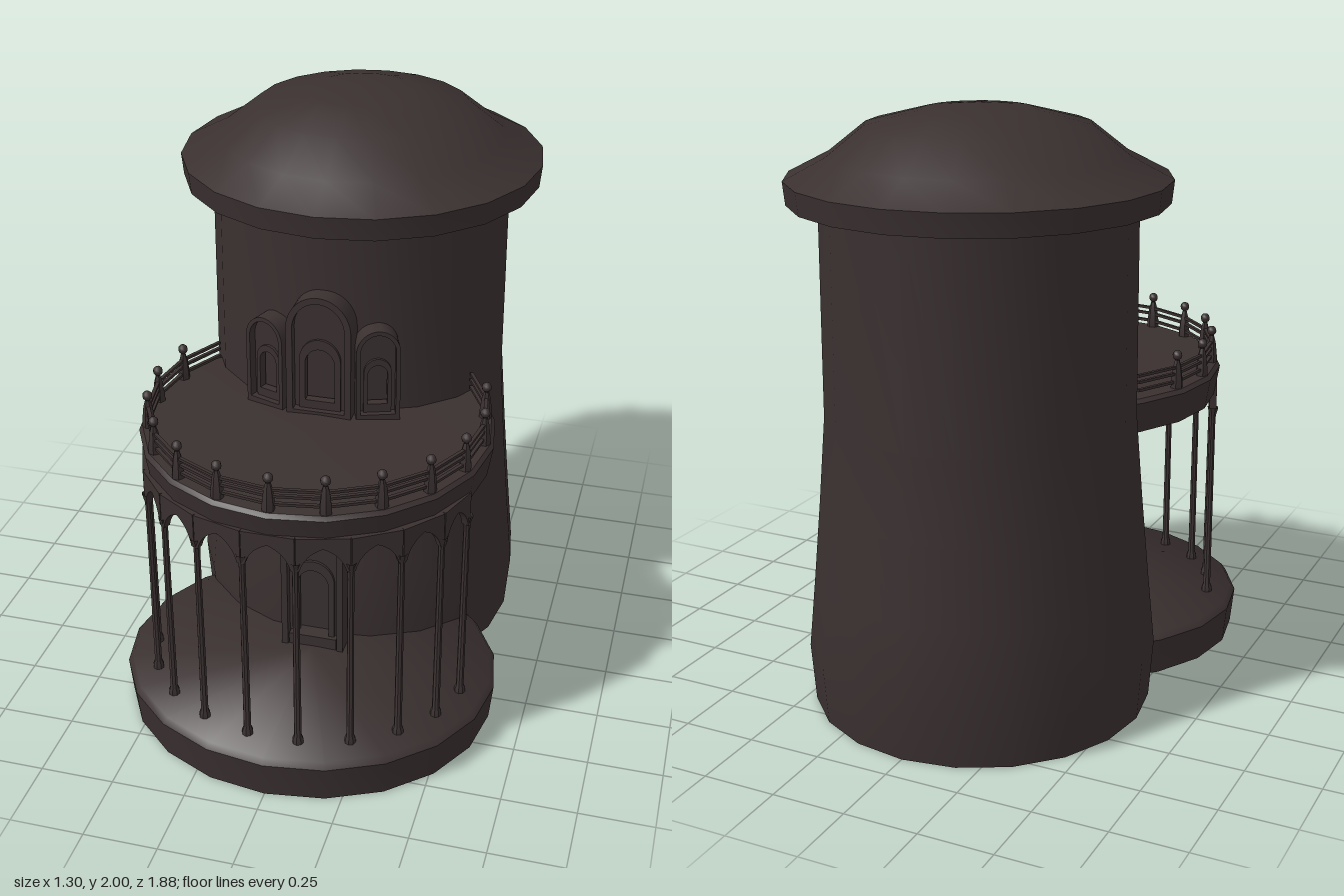
import * as THREE from 'three';
import { toCreasedNormals } from 'three/addons/utils/BufferGeometryUtils.js';

export function createModel() {
  const root = new THREE.Group();
  root.name = 'roundTower';
  const stone = new THREE.MeshStandardMaterial({ color: 0x3a3030, side: THREE.DoubleSide });
  stone.name = 'darkStone';
  const SIDES = 20, STEP = Math.PI / 10;
  const TOWER_Z = -0.33, BALCONY_Z = 0.25, BASE_Z = 0.35;

  const add = (parent, name, geometry) => {
    const mesh = new THREE.Mesh(geometry, stone);
    mesh.name = name;
    parent.add(mesh);
    return mesh;
  };
  const group = (name, parent = root) => {
    const g = new THREE.Group();
    g.name = name;
    parent.add(g);
    return g;
  };
  const lathe = (profile, sides = SIDES) => toCreasedNormals(
    new THREE.LatheGeometry(profile.map(([r, y]) => new THREE.Vector2(r, y)), sides), 0.7);

  // Tower wall, open at the bottom, and its domed cap
  add(root, 'towerWall', lathe([[0.57, 0], [0.585, 0.2], [0.56, 0.45], [0.535, 0.72], [0.512, 1], [0.508, 1.72]]))
    .position.z = TOWER_Z;
  add(root, 'roof', lathe([[0.49, 1.7], [0.607, 1.695], [0.615, 1.77], [0.48, 1.84], [0.36, 1.935], [0.175, 1.982], [0, 2]]))
    .position.z = TOWER_Z;

  // Oval porch floor, a shell open below
  const floor = add(root, 'porchFloor', lathe([[0.98, 0], [1, 0.127], [0.975, 0.148], [0, 0.17]]));
  floor.scale.set(0.648, 1, 0.585);
  floor.position.z = BASE_Z;

  // Balcony floor
  add(root, 'balconyFloor', lathe([[0.572, 0.91], [0.59, 1.015], [0.578, 1.028], [0, 1.05]]))
    .position.z = BALCONY_Z;

  // Arch outline from y0 up to a rounded top
  const trace = (path, hw, y0, top) => {
    const spring = top - hw * 1.1;
    path.moveTo(-hw, y0);
    path.lineTo(hw, y0);
    path.lineTo(hw, spring);
    path.absellipse(0, spring, hw, hw * 1.1, 0, Math.PI, false, 0);
    path.lineTo(-hw, y0);
    return path;
  };
  // Arched plate, with an opening when a hole is given; its front lies at z
  const archPlate = (parent, name, outer, hole, z, depth) => {
    const shape = trace(new THREE.Shape(), ...outer);
    if (hole) shape.holes.push(trace(new THREE.Path(), ...hole));
    const geometry = new THREE.ExtrudeGeometry(shape, { depth, bevelEnabled: false, curveSegments: 12 });
    add(parent, name, toCreasedNormals(geometry, 0.6)).position.z = z - depth;
  };
  // Stepped arch: surround, inner frame and back panel
  const portal = (name, hw, y0, top, innerHw, innerTop, z, depth) => {
    const g = group(name);
    const lip = hw * 0.2;
    archPlate(g, 'surround', [hw, y0, top], [hw - lip, y0 + 0.03, top - lip], z, depth);
    archPlate(g, 'tympanum', [hw - lip, y0, top - lip], [innerHw, y0 + 0.03, innerTop], z - 0.03, depth - 0.05);
    archPlate(g, 'innerFrame', [innerHw, y0, innerTop],
      [innerHw * 0.72, y0 + 0.06, innerTop - innerHw * 0.5], z - 0.02, 0.03);
    archPlate(g, 'panel', [innerHw, y0, innerTop], null, z - 0.06, 0.02);
    return g;
  };

  portal('door', 0.11, 0.09, 0.71, 0.075, 0.515, 0.345, 0.2);
  add(group('doorStep'), 'step', new THREE.BoxGeometry(0.17, 0.13, 0.1)).position.set(0, 0.145, 0.29);

  // Windows above the balcony, facing out from the tower
  portal('middleWindow', 0.11, 1.03, 1.475, 0.07, 1.315, 0.245, 0.12);
  for (const side of [-1, 1]) {
    const w = portal(side > 0 ? 'leftWindow' : 'rightWindow', 0.073, 1.03, 1.365, 0.046, 1.255, 0.575, 0.12);
    w.position.z = TOWER_Z;
    w.rotation.y = side * 0.345;
  }

  // Slim columns around the porch
  const columns = group('columns');
  const spot = (angle) => new THREE.Vector3(0.55 * Math.sin(angle), 0, BASE_Z + 0.475 * Math.cos(angle));
  const spots = [];
  for (let i = -5; i < 5; i++) spots.push(spot((i + 0.5) * STEP));
  const columnGeometry = lathe([[0.019, 0.14], [0.019, 0.165], [0.013, 0.18], [0.011, 0.8], [0.012, 0.83], [0.02, 0.86]], 8);
  for (const p of spots) add(columns, 'column', columnGeometry).position.copy(p);

  // Arcade panels spanning neighbouring columns
  const arcade = group('arcade');
  const addBay = (a, b) => {
    const half = a.distanceTo(b) / 2;
    const gap = half - 0.012;
    const shape = new THREE.Shape();
    shape.moveTo(-half, 0.95);
    shape.lineTo(-half, 0.83);
    shape.lineTo(-gap, 0.83);
    shape.quadraticCurveTo(-gap * 0.8, 0.89, 0, 0.912);
    shape.quadraticCurveTo(gap * 0.8, 0.89, gap, 0.83);
    shape.lineTo(half, 0.83);
    shape.lineTo(half, 0.95);
    const geometry = new THREE.ExtrudeGeometry(shape, { depth: 0.024, bevelEnabled: false, curveSegments: 8 });
    geometry.translate(0, 0, -0.012);
    const bay = add(arcade, 'archBay', toCreasedNormals(geometry, 0.5));
    bay.position.copy(a).add(b).multiplyScalar(0.5);
    bay.rotation.y = Math.atan2(-(b.z - a.z), b.x - a.x);
  };
  for (let i = 0; i < spots.length - 1; i++) addBay(spots[i], spots[i + 1]);

  // Railing posts with ball tops
  const railing = group('railing');
  railing.position.z = BALCONY_Z;
  const postGeometry = lathe([[0.021, 1.02], [0.021, 1.05], [0.015, 1.1], [0.008, 1.125]], 6);
  const ballGeometry = new THREE.SphereGeometry(0.017, 8, 6);
  for (let i = -6; i <= 6; i++) {
    const x = 0.557 * Math.sin(i * STEP), z = 0.557 * Math.cos(i * STEP);
    const post = add(railing, 'post', postGeometry);
    post.position.set(x, 0, z);
    post.rotation.y = i * STEP;
    add(railing, 'postBall', ballGeometry).position.set(x, 1.141, z);
  }

  // Thin rails running straight from post to post
  const length = 2 * 0.557 * Math.sin(STEP / 2);
  const middle = 0.557 * Math.cos(STEP / 2);
  const railGeometry = new THREE.BoxGeometry(length, 0.009, 0.012);
  for (let i = -7; i < 7; i++) {
    const angle = (i + 0.5) * STEP;
    for (const y of [1.05, 1.078, 1.1]) {
      const rail = add(railing, 'rail', railGeometry);
      rail.position.set(middle * Math.sin(angle), y, middle * Math.cos(angle));
      rail.rotation.y = angle;
    }
  }

  return root;
}
